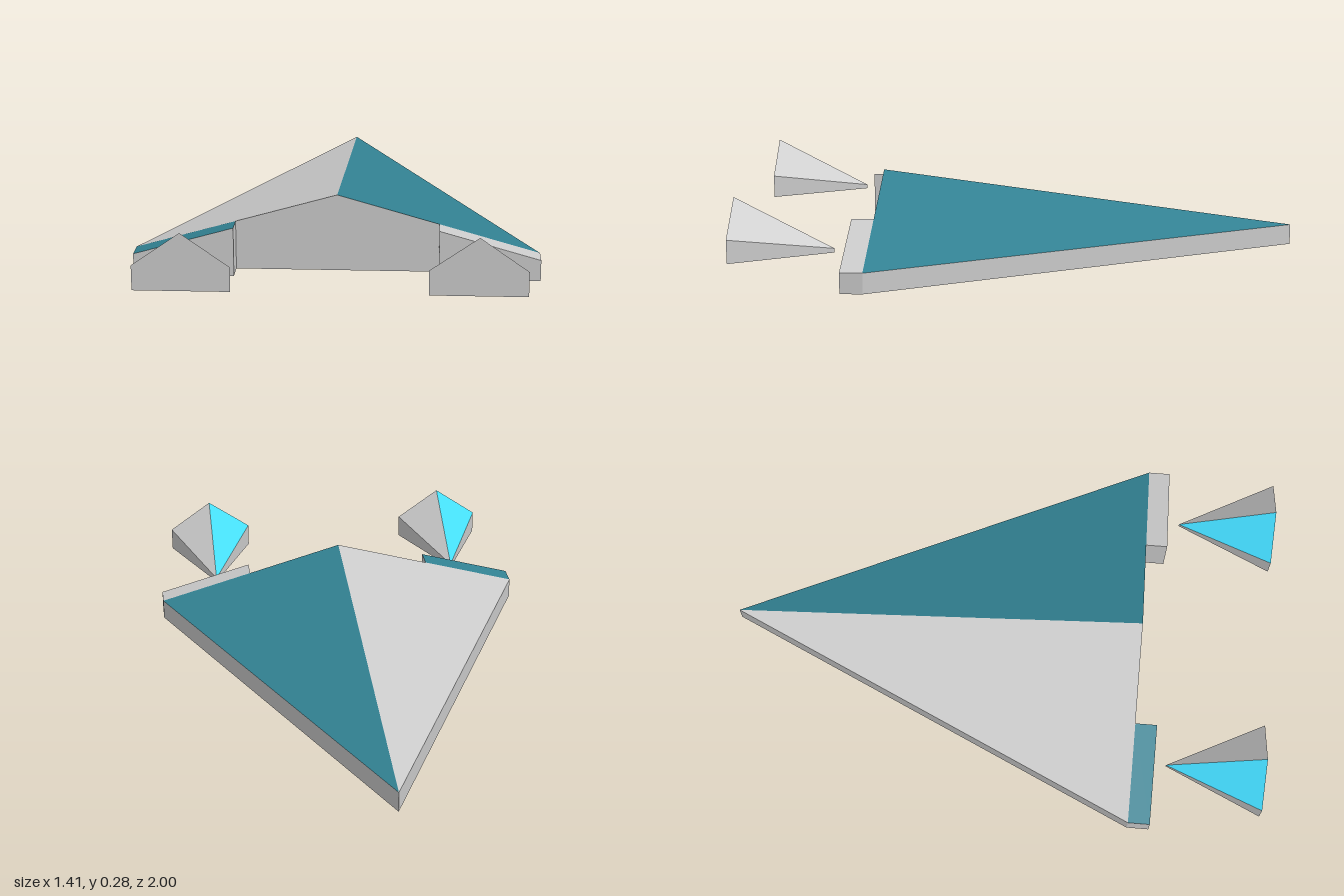
import * as THREE from 'three';

const GREY = 0xcccccc, TEAL = 0x328293, CYAN = 0x44ddff;

// Flat-shaded mesh from convex polygons, each turned to face away from the centre
function facets(name, color, centre, polygons) {
  const c = new THREE.Vector3(...centre), points = [];
  for (const polygon of polygons) {
    const p = polygon.map((v) => new THREE.Vector3(...v));
    const normal = p[1].clone().sub(p[0]).cross(p[2].clone().sub(p[0]));
    if (normal.dot(p[0].clone().sub(c)) < 0) p.reverse();
    for (let i = 1; i < p.length - 1; i++) points.push(p[0], p[i], p[i + 1]);
  }
  const geometry = new THREE.BufferGeometry().setFromPoints(points);
  geometry.computeVertexNormals();
  const material = new THREE.MeshStandardMaterial({ color, flatShading: true });
  const mesh = new THREE.Mesh(geometry, material);
  mesh.name = name;
  return mesh;
}

// Arrowhead wedge: pointed at zTip, with a five-sided end face at zEnd
function wedge(name, { x = 0, half, zTip, zEnd, base, tipTop, shoulder, ridge, colors }) {
  const group = new THREE.Group();
  group.name = name;
  const centre = [x, (base + tipTop) / 2, zTip + (zEnd - zTip) * 0.7];
  const tipLow = [x, base, zTip], tipHigh = [x, tipTop, zTip], apex = [x, ridge, zEnd];
  const low = (s) => [x + s * half, base, zEnd];
  const high = (s) => [x + s * half, shoulder, zEnd];
  group.add(facets(name + 'Body', GREY, centre, [
    [tipLow, low(-1), low(1)],
    [low(-1), low(1), high(1), apex, high(-1)],
    ...[-1, 1].map((s) => [tipLow, low(s), high(s), tipHigh]),
  ]));
  [-1, 1].forEach((s, i) => group.add(
    facets(name + (s > 0 ? 'LeftTop' : 'RightTop'), colors[i], centre, [[tipHigh, high(s), apex]])));
  return group;
}

export function createModel() {
  const model = new THREE.Group();

  // Main hull
  const half = 0.705, shoulder = 0.075, ridge = 0.275, zEnd = 0.525;
  model.add(wedge('hull', {
    half, zTip: -1, zEnd, base: 0, tipTop: shoulder, shoulder, ridge, colors: [GREY, TEAL],
  }));

  for (const s of [-1, 1]) {
    const side = s > 0 ? 'left' : 'right';

    // Block that carries the hull's outer section a little further
    const inner = 0.355, z1 = 0.605;
    const innerTop = ridge + (shoulder - ridge) * inner / half;
    const section = (z) => [
      [s * inner, 0, z], [s * half, 0, z], [s * half, shoulder, z], [s * inner, innerTop, z],
    ];
    const a = section(zEnd), b = section(z1);
    const strip = (i) => [a[i], a[(i + 1) % 4], b[(i + 1) % 4], b[i]];
    const centre = [s * 0.5, 0.05, 0.565];
    model.add(facets(side + 'Block', GREY, centre, [b, strip(0), strip(1), strip(3)]));
    model.add(facets(side + 'BlockTop', s > 0 ? GREY : TEAL, centre, [strip(2)]));

    // Small detached wedge
    model.add(wedge(side + 'Pod', {
      x: s * 0.483, half: 0.161, zTip: 0.65, zEnd: 1,
      base: 0.085, tipTop: 0.1, shoulder: 0.17, ridge: 0.283, colors: [CYAN, GREY],
    }));
  }
  return model;
}
